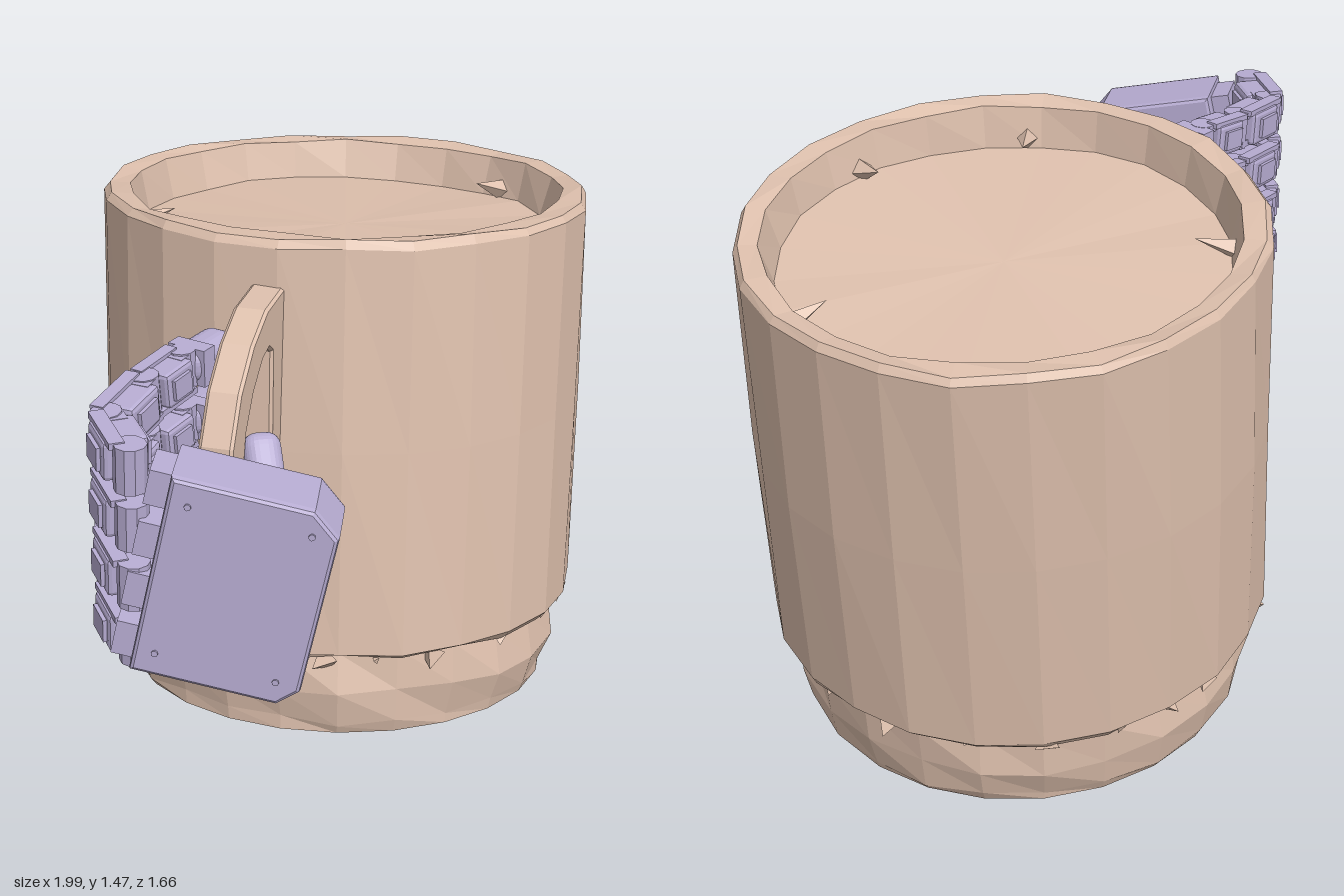
import * as THREE from 'three';
import { RoundedBoxGeometry } from 'three/addons/geometries/RoundedBoxGeometry.js';

const clay = new THREE.MeshStandardMaterial({ color: 0xdfc1ae, flatShading: true });
const shell = new THREE.MeshStandardMaterial({ color: 0xb8add3, flatShading: true });
const V = (x, y, z) => new THREE.Vector3(x, y, z);

function add(parent, name, geometry, material, x = 0, y = 0, z = 0) {
  const mesh = new THREE.Mesh(geometry, material);
  mesh.name = name;
  mesh.position.set(x, y, z);
  parent.add(mesh);
  return mesh;
}

// Worn cup: stepped foot, faceted wall and a raised rim around a shallow floor
function makeMug() {
  const mug = new THREE.Group();
  mug.name = 'mug';
  const profile = [
    [0, 0], [0.575, 0], [0.585, 0.03], [0.605, 0.12], [0.598, 0.235], [0.625, 0.232],
    [0.643, 0.25], [0.647, 0.8], [0.645, 1.325], [0.632, 1.345], [0.578, 1.34], [0.555, 1.235], [0, 1.235],
  ].map(([r, h]) => new THREE.Vector2(r, h));
  const wall = new THREE.LatheGeometry(profile, 24);
  const p = wall.attributes.position;
  for (let i = 0; i < p.count; i++) {
    const x = p.getX(i), y = p.getY(i), z = p.getZ(i);
    const r = Math.hypot(x, z);
    if (r < 0.1 || y < 0.02) continue;
    // uneven foot and chipped edges, almost straight wall
    const rough = y < 0.24 ? 0.014 : y > 0.3 && y < 1.3 && r > 0.6 ? 0.003 : 0.006;
    const k = 1 + rough * Math.sin(x * 47 + z * 31 + y * 19);
    p.setXYZ(i, x * k, y + rough * 0.8 * Math.sin(x * 29 - z * 53), z * k);
  }
  add(mug, 'cup', wall, clay);

  // Splinters hanging under the lip
  for (let i = 0; i < 22; i++) {
    const a = i * 0.2856 + 0.09 * Math.sin(i * 7.1);
    const size = 0.028 + 0.016 * Math.sin(i * 3.7);
    const chip = add(mug, 'lipSplinter', new THREE.TetrahedronGeometry(size), clay,
      0.608 * Math.sin(a), 0.222, 0.608 * Math.cos(a));
    chip.rotation.set(i, a, i * 2.3);
  }
  // Shards along the inner wall: angle, length
  for (const [a, len] of [[-2.2, 0.15], [-0.72, 0.17], [1.45, 0.14], [0.1, 0.1]]) {
    const shard = add(mug, 'rimShard', new THREE.ConeGeometry(0.04, len, 4), clay,
      0.53 * Math.sin(a), 1.265, 0.53 * Math.cos(a));
    shard.rotation.set(-Math.PI / 2 + 0.3, a, 0, 'YXZ');
  }
  mug.position.set(0.25, 0.062, -0.09);
  mug.quaternion.setFromUnitVectors(V(0, 1, 0), V(0.081, 1, -0.067).normalize());
  return mug;
}

// Flat D-shaped loop with a hole
function makeHandle() {
  const pts = (list) => list.map(([x, y]) => new THREE.Vector2((x + 0.25) / 0.865, y));
  const shape = new THREE.Shape(pts([
    [-0.2, 1.34], [-0.34, 1.335], [-0.44, 1.29], [-0.53, 1.21], [-0.59, 1.1], [-0.605, 0.98],
    [-0.59, 0.87], [-0.53, 0.77], [-0.45, 0.71], [-0.31, 0.66], [-0.23, 0.67],
  ]));
  shape.holes.push(new THREE.Path(pts([
    [-0.3, 1.22], [-0.32, 0.8], [-0.35, 0.765], [-0.42, 0.79], [-0.49, 0.84], [-0.525, 0.91],
    [-0.53, 1.0], [-0.505, 1.1], [-0.45, 1.18], [-0.38, 1.235], [-0.33, 1.245],
  ])));
  const depth = 0.07;
  const loop = new THREE.ExtrudeGeometry(shape, {
    depth, bevelEnabled: true, bevelThickness: 0.008, bevelSize: 0.006, bevelSegments: 1,
  }).translate(0, 0, -depth / 2);
  const handle = add(new THREE.Group(), 'handle', loop, clay, -0.25, 0, 0.145);
  handle.rotation.y = 0.53;
  return handle;
}

// One phalanx: casing, hinge pin, side plates and back plate, pointing from a to b
function makeLink(a, b, size, isTip) {
  const link = new THREE.Group();
  link.name = isTip ? 'fingertip' : 'fingerLink';
  const len = a.distanceTo(b);
  const box = (name, w, h, d, x, y, z) =>
    add(link, name, new THREE.BoxGeometry(w, h, d), shell, x, y, z);
  if (isTip) {
    add(link, 'tipCasing', new RoundedBoxGeometry(size, size * 0.92, len, 3, size * 0.38), shell, 0, 0, len / 2);
    box('tipCollar', size * 1.06, size * 0.96, len * 0.25, 0, 0, len * 0.22);
  } else {
    add(link, 'casing', new RoundedBoxGeometry(size * 0.95, size * 0.86, len * 0.72, 1, size * 0.1), shell, 0, 0, len * 0.52);
    for (const s of [-1, 1]) {
      box('sidePlate', size * 0.32, size * 0.14, len * 0.95, s * size * 0.25, s * size * 0.45, len * 0.5);
      box('hingeFork', size * 0.6, size * 0.16, size * 0.5, 0, s * size * 0.36, len * 0.9);
      box('backPlate', size * 0.12, size * 0.5, len * 0.45, s * size * 0.5, 0, len * 0.5);
    }
  }
  add(link, 'hinge', new THREE.CylinderGeometry(size * 0.34, size * 0.34, size * 0.98, 10), shell);
  link.position.copy(a);
  link.lookAt(b);
  return link;
}

function makeDigit(name, points, size) {
  const digit = new THREE.Group();
  digit.name = name;
  for (let i = 0; i < points.length - 1; i++) {
    digit.add(makeLink(points[i], points[i + 1], size * (1 - 0.05 * i), i === points.length - 2));
  }
  return digit;
}

// Palm block: local x faces the back of the hand, y across it, z toward the wrist
function makePalm() {
  const palm = new THREE.Group();
  palm.name = 'palm';
  const outline = new THREE.Shape([
    [-0.18, -0.24], [0.13, -0.24], [0.19, -0.19], [0.19, 0.2], [0.15, 0.24], [-0.18, 0.24],
  ].map(([x, y]) => new THREE.Vector2(x, y)));
  const body = new THREE.ExtrudeGeometry(outline, {
    depth: 0.15, bevelEnabled: true, bevelThickness: 0.018, bevelSize: 0.01, bevelSegments: 2,
  }).translate(0, 0, -0.075).rotateY(-Math.PI / 2);
  add(palm, 'palmCasing', body, shell);
  const box = (name, w, h, d, x, y, z) =>
    add(palm, name, new THREE.BoxGeometry(w, h, d), shell, x, y, z);
  box('innerPlate', 0.03, 0.36, 0.26, -0.1, 0, 0.01);
  for (let i = 0; i < 4; i++) {
    const y = 0.195 - i * 0.13;
    box('knuckleMount', 0.11, 0.085, 0.07, 0, y, -0.205);
    box('palmRib', 0.03, 0.06, 0.12, -0.115, y * 0.8, 0.02);
    const bolt = add(palm, 'bolt', new THREE.CylinderGeometry(0.008, 0.008, 0.006, 8), shell,
      0.095, i % 2 ? 0.19 : -0.19, i < 2 ? -0.14 : 0.14);
    bolt.rotation.z = Math.PI / 2;
  }
  box('thumbMount', 0.1, 0.14, 0.14, -0.09, -0.13, 0.08);
  const along = V(0.25, -0.085, 0.29).normalize();
  const across = V(0, 1, 0).addScaledVector(along, -along.y).normalize();
  const outward = new THREE.Vector3().crossVectors(across, along);
  if (outward.x > 0) { outward.negate(); across.negate(); }
  palm.quaternion.setFromRotationMatrix(new THREE.Matrix4().makeBasis(outward, across, along));
  palm.position.set(-0.77, 0.93, 0.61);
  return palm;
}

function makeHand() {
  const hand = new THREE.Group();
  hand.name = 'mechanicalHand';
  hand.add(makePalm());
  // Four fingers curled behind the handle
  const names = ['indexFinger', 'middleFinger', 'ringFinger', 'littleFinger'];
  [1.2, 1.06, 0.91, 0.765].forEach((y, i) => {
    const reach = [0.02, 0, 0.02, -0.04][i];
    hand.add(makeDigit(names[i], [
      V(-0.93, y, 0.44), V(-0.86, y + 0.01, 0.28), V(-0.69, y + 0.03, 0.215),
      V(-0.55, y + 0.045, 0.185), V(-0.4 + reach, y + 0.05, 0.145),
    ], 0.115));
  });
  // Thumb closing from the front
  hand.add(makeDigit('thumb', [
    V(-0.65, 0.79, 0.61), V(-0.56, 0.83, 0.51), V(-0.49, 0.93, 0.42), V(-0.43, 1.08, 0.32),
  ], 0.105));
  return hand;
}

export function createModel() {
  const model = new THREE.Group();
  model.name = 'mugAndHand';
  model.add(makeMug(), makeHandle(), makeHand());
  return model;
}
